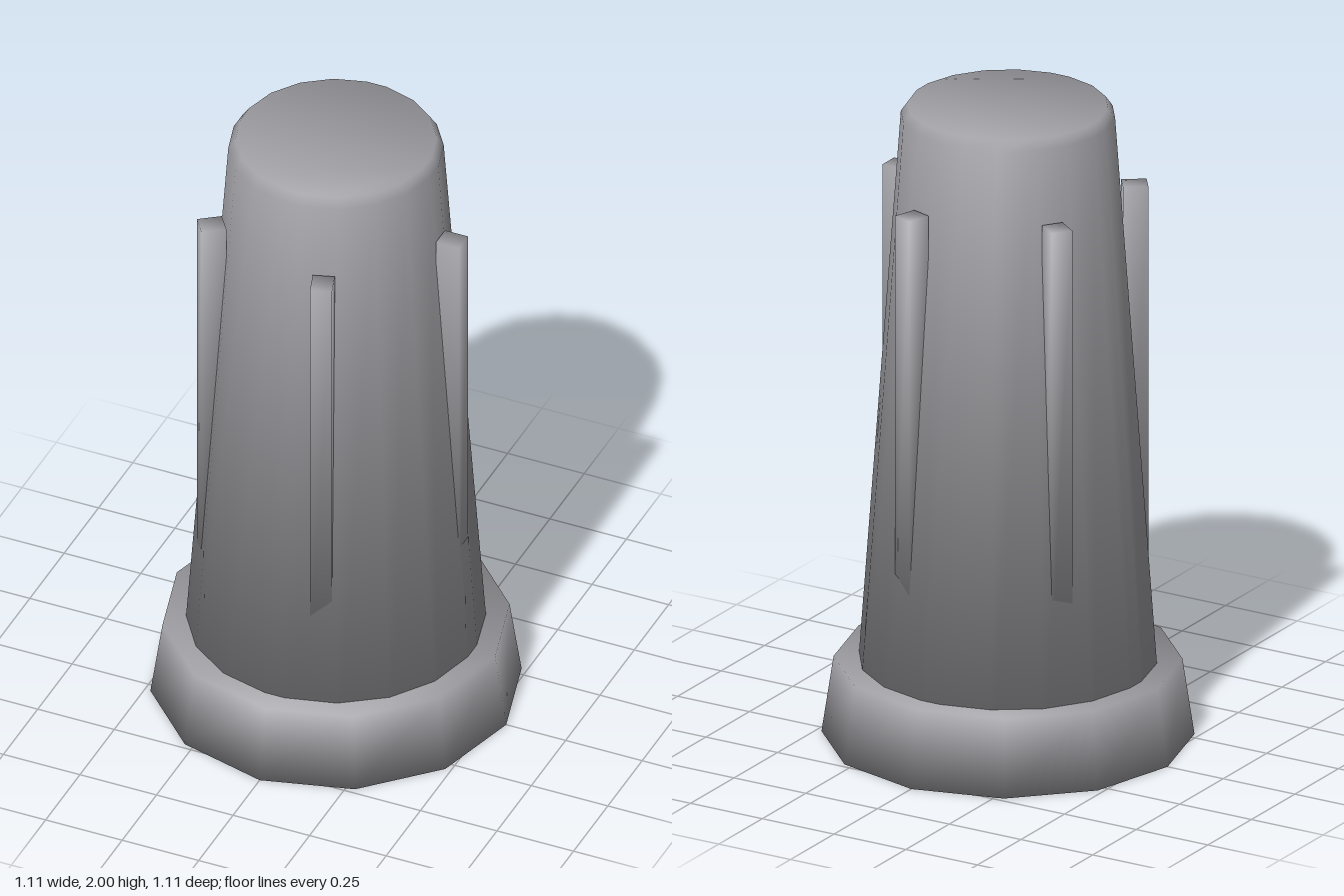
import * as THREE from 'three';

const material = new THREE.MeshStandardMaterial({ color: 0xa09fa4 });

// Round outline with a narrow flat of constant width on each axis
function bodyOutline(r) {
  const points = [], edge = Math.asin(0.033 / r), segments = 4;
  for (let q = 0; q < 4; q++) {
    for (let i = 0; i <= segments; i++) {
      const a = q * Math.PI / 2 + edge + (Math.PI / 2 - 2 * edge) * i / segments;
      points.push([r * Math.cos(a), r * Math.sin(a)]);
    }
  }
  return points;
}

// Regular twelve-sided outline
function flangeOutline(r) {
  return Array.from({ length: 12 }, (_, i) => {
    const a = i * Math.PI / 6;
    return [r * Math.cos(a), r * Math.sin(a)];
  });
}

// Small rectangle, slightly deeper than wide
function ribOutline(r) {
  return [[r, 0.87 * r], [-r, 0.87 * r], [-r, -0.87 * r], [r, -0.87 * r]];
}

// Closed skin over stacked outlines given as [y, radius].
// Each ring's normal tilts halfway between the faces above and below it.
function loft(levels, outline) {
  const positions = [], normals = [], index = [];
  const last = levels.length - 1;
  const tilts = [-Math.PI / 2];
  for (let k = 0; k < last; k++) {
    tilts.push(Math.atan2(levels[k][1] - levels[k + 1][1], levels[k + 1][0] - levels[k][0]));
  }
  tilts.push(Math.PI / 2);
  levels.forEach(([y, r], k) => {
    const tilt = (tilts[k] + tilts[k + 1]) / 2;
    for (const [x, z] of outline(r)) {
      const d = Math.cos(tilt) / Math.hypot(x, z);
      positions.push(x, y, z);
      normals.push(x * d, Math.sin(tilt), z * d);
    }
  });
  const n = outline(1).length;
  for (let k = 0; k < last; k++) {
    for (let i = 0; i < n; i++) {
      const a = k * n + i, b = k * n + (i + 1) % n;
      index.push(a, a + n, b, b, a + n, b + n);
    }
  }
  // Flat end caps
  const top = last * n;
  for (let i = 1; i < n - 1; i++) {
    index.push(0, i, i + 1);
    index.push(top, top + i + 1, top + i);
  }
  const geometry = new THREE.BufferGeometry();
  geometry.setAttribute('position', new THREE.Float32BufferAttribute(positions, 3));
  geometry.setAttribute('normal', new THREE.Float32BufferAttribute(normals, 3));
  geometry.setIndex(index);
  return geometry;
}

function addMesh(parent, name, geometry) {
  const mesh = new THREE.Mesh(geometry, material);
  mesh.name = name;
  parent.add(mesh);
  return mesh;
}

export function createModel() {
  const model = new THREE.Group();
  model.name = 'ribbedPlug';

  // Twelve-sided flared foot
  addMesh(model, 'baseFlange', loft([[0, 0.556], [0.24, 0.52]], flangeOutline));

  // Tapered body running down inside the foot, with a small chamfer at the top
  addMesh(model, 'taperedBody', loft([[0.003, 0.464], [1.97, 0.321], [2, 0.3]], bodyOutline));

  // Five upright ribs that sink into the taper lower down
  const ribs = new THREE.Group();
  ribs.name = 'ribs';
  const ribGeometry = loft([[0.4, 0.038], [1.74, 0.038]], ribOutline);
  for (let i = 0; i < 5; i++) {
    const angle = i * Math.PI * 2 / 5;
    const rib = addMesh(ribs, 'rib' + (i + 1), ribGeometry);
    rib.position.set(0.379 * Math.cos(angle), 0, 0.379 * Math.sin(angle));
    rib.rotation.y = -angle;
  }
  model.add(ribs);

  return model;
}
